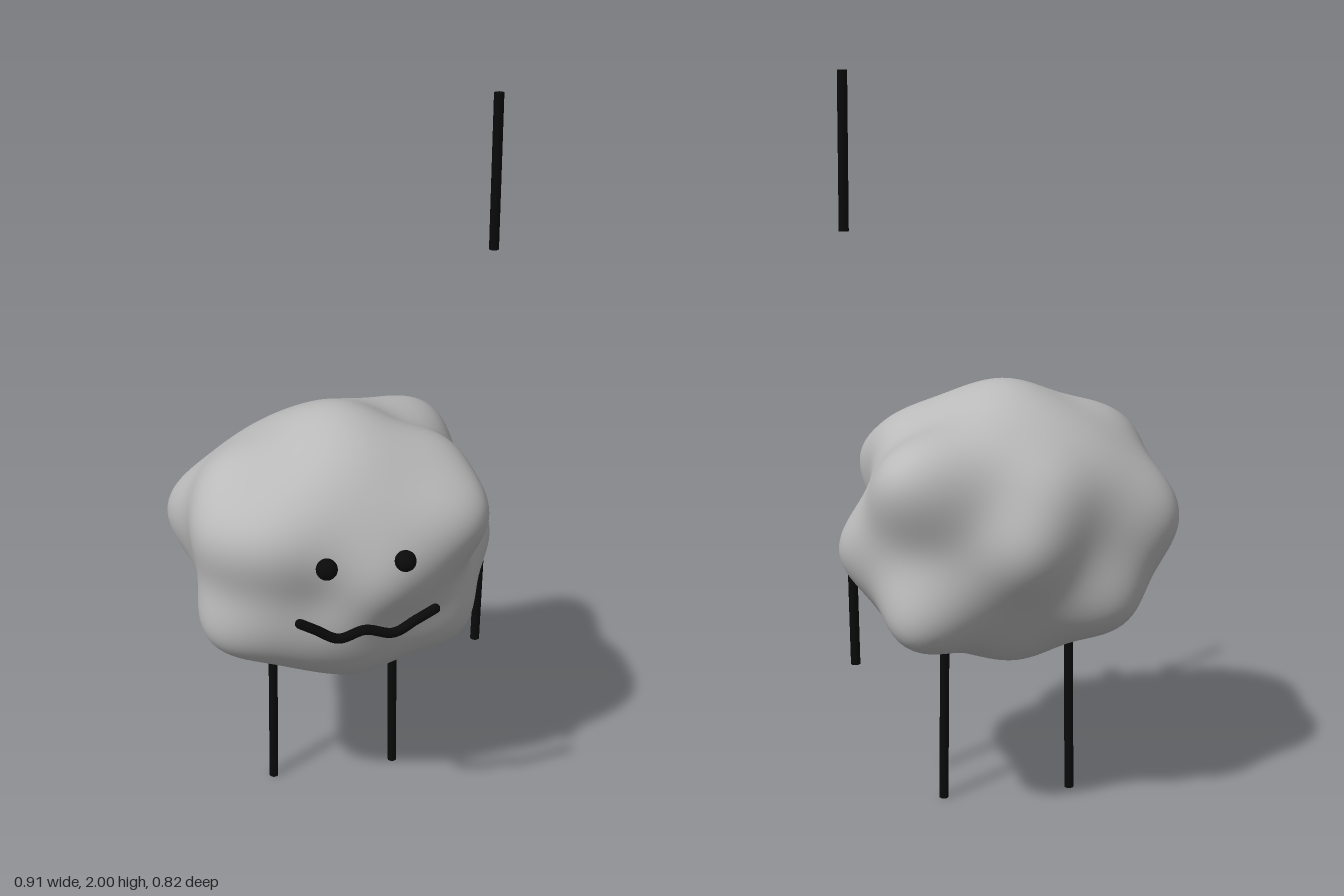
import * as THREE from 'three';
import { mergeVertices } from 'three/addons/utils/BufferGeometryUtils.js';

const grey = new THREE.MeshStandardMaterial({ color: 0xbababa });
grey.name = 'cloud grey';
const black = new THREE.MeshStandardMaterial({ color: 0x0a0a0a });
black.name = 'ink black';

// Lobes and hollows the body surface passes through, relative to its centre
const CENTRE_Y = 0.81;
const SHARPNESS = 19;
const LOBES = [
  [-0.01, 0.38, 0], [0.06, 0, 0.37], [0.03, -0.382, 0], [0, 0, -0.41],
  [-0.4, 0.12, 0.2], [-0.35, 0.26, 0.07], [-0.14, 0.25, 0.26], [-0.26, 0.14, 0.31], // brow
  [-0.39, -0.18, 0.19], [-0.3, -0.16, 0.27], [-0.16, -0.26, 0.25], // chin
  [0.06, -0.26, 0.27], [0.31, -0.235, 0.2],
  [0.27, 0.14, 0.3], [0.37, 0.12, 0.2], [0.3, 0.27, 0.06], // cheek beside the face
  [0.45, -0.04, -0.03],
  [0.32, 0.21, -0.33], [0.385, 0.14, -0.21], [0.3, -0.23, -0.32], // back, arm side
  [-0.42, 0.01, -0.23], [-0.45, 0.06, -0.14], [-0.27, -0.21, -0.3], // back, other side
  [-0.08, 0.17, -0.355], [0.1, 0.26, -0.29],
];
const HOLLOWS = [
  [-0.4, -0.04, 0.0], [-0.35, -0.03, 0.24], [-0.11, -0.03, 0.32], [0.1, -0.12, 0.31],
  [0.3, -0.04, 0.22], [0.355, 0.04, 0.07], [0.37, 0.14, -0.09], [0.07, 0.26, 0.25],
  [0.36, -0.02, -0.24], [0.06, -0.18, -0.32], [-0.2, -0.05, -0.33], [-0.27, 0.17, -0.25],
  [-0.03, 0.32, -0.18], [-0.2, 0.32, 0], [0.2, 0.295, -0.05], [-0.3, -0.29, 0],
  [0.28, -0.32, 0], [0, -0.34, -0.2], [0, -0.35, 0.18], [0, 0.335, 0.17], [-0.18, -0.35, 0.05],
];

const baseRadius = (d) => 1 / Math.hypot(d.x / 0.41, d.y / 0.365, d.z / 0.36);

// Smooth bumps on an ellipsoid, their heights solved so the surface meets every point
function solveBumps() {
  const bumps = [...LOBES, ...HOLLOWS].map((p) => {
    const dir = new THREE.Vector3(...p);
    const radius = dir.length();
    return { dir: dir.divideScalar(radius), radius, height: 0 };
  });
  for (let pass = 0; pass < 30; pass++) {
    for (const b of bumps) b.height += b.radius - radiusAt(b.dir, bumps);
  }
  return bumps;
}

function radiusAt(d, bumps) {
  let r = baseRadius(d);
  for (const b of bumps) r += b.height * Math.exp(-SHARPNESS * (1 - d.dot(b.dir)));
  return r;
}

function bodyGeometry() {
  const bumps = solveBumps();
  let geo = new THREE.IcosahedronGeometry(1, 28);
  geo.deleteAttribute('uv');
  geo.deleteAttribute('normal');
  geo = mergeVertices(geo, 1e-5);
  const pos = geo.attributes.position;
  const d = new THREE.Vector3();
  for (let i = 0; i < pos.count; i++) {
    d.fromBufferAttribute(pos, i).normalize();
    d.multiplyScalar(radiusAt(d, bumps));
    pos.setXYZ(i, d.x, d.y + CENTRE_Y, d.z);
  }
  geo.computeVertexNormals();
  return geo;
}

export function createModel() {
  const model = new THREE.Group();
  model.name = 'cloudCreature';

  const add = (name, geometry, material, parent = model) => {
    const mesh = new THREE.Mesh(geometry, material);
    mesh.name = name;
    parent.add(mesh);
    return mesh;
  };

  // Thin straight limb between two points
  const stick = (name, a, b) => {
    const from = new THREE.Vector3(...a);
    const to = new THREE.Vector3(...b);
    const axis = to.clone().sub(from);
    const mesh = add(name, new THREE.CylinderGeometry(0.013, 0.013, axis.length(), 16), black);
    mesh.position.copy(from).add(to).multiplyScalar(0.5);
    mesh.quaternion.setFromUnitVectors(new THREE.Vector3(0, 1, 0), axis.normalize());
  };

  add('body', bodyGeometry(), grey);

  // Legs and arm pieces
  stick('rightLeg', [-0.19, 0, -0.02], [-0.184, 0.5, -0.02]);
  stick('leftLeg', [0.173, 0, -0.02], [0.166, 0.5, -0.02]);
  stick('lowerArm', [0.412, 0.41, 0], [0.415, 0.74, 0]);
  stick('upperArm', [0.417, 1.595, 0], [0.412, 2, 0]);

  // Face
  const face = new THREE.Group();
  face.name = 'face';
  model.add(face);
  for (const [name, x] of [['rightEye', -0.11], ['leftEye', 0.095]]) {
    add(name, new THREE.SphereGeometry(0.028, 24, 16), black, face).position.set(x, 0.91, 0.375);
  }
  const path = [
    [-0.185, 0.775], [-0.145, 0.752], [-0.085, 0.718], [-0.015, 0.735],
    [0.06, 0.717], [0.12, 0.748], [0.17, 0.775],
  ].map(([x, y]) => new THREE.Vector3(x, y, 0.4));
  add('mouth', new THREE.TubeGeometry(new THREE.CatmullRomCurve3(path), 60, 0.013, 12), black, face);
  for (const end of [path[0], path[path.length - 1]]) {
    add('mouthCorner', new THREE.SphereGeometry(0.013, 12, 8), black, face).position.copy(end);
  }

  return model;
}
